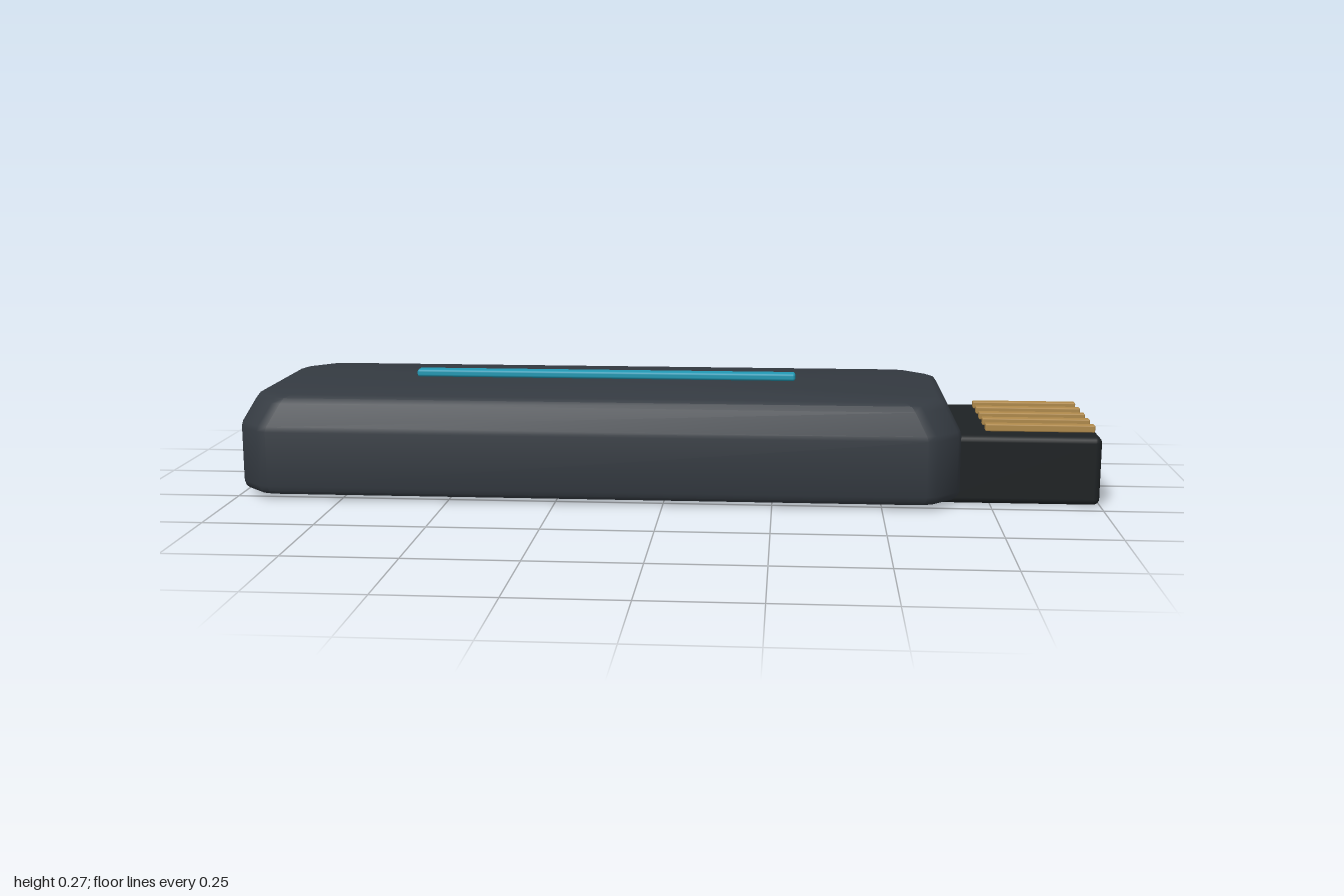
import * as THREE from 'three';
import { toCreasedNormals } from 'three/addons/utils/BufferGeometryUtils.js';
import { RoundedBoxGeometry } from 'three/addons/geometries/RoundedBoxGeometry.js';

const paint = (color) => new THREE.MeshStandardMaterial({ color });

// Rounded box given by its limits on each axis
function block(name, [x0, x1], [y0, y1], [z0, z1], radius, material) {
  const geometry = new RoundedBoxGeometry(x1 - x0, y1 - y0, z1 - z0, 3, radius);
  const mesh = new THREE.Mesh(geometry, material);
  mesh.position.set((x0 + x1) / 2, (y0 + y1) / 2, (z0 + z1) / 2);
  mesh.name = name;
  return mesh;
}

// Horizontal outline: rectangle with softened chamfers on its corners
function outline(halfX, halfZ) {
  const cut = [[0, 0.08], [0.008, 0.058], [0.058, 0.008], [0.08, 0]];
  const points = [];
  for (const [sx, sz] of [[1, 1], [-1, 1], [-1, -1], [1, -1]]) {
    const corner = cut.map(([dx, dz]) => [sx * (halfX - dx), sz * (halfZ - dz)]);
    points.push(...(sx === sz ? corner : corner.reverse()));
  }
  return points;
}

// Casing: outlines stacked in y, drawn in by an inset at each level
function casingGeometry(halfX, halfZ) {
  const levels = [
    [0.01, 0.02], [0.013, 0.009], [0.02, 0.003], [0.032, 0],
    [0.16, 0], [0.172, 0.003], [0.222, 0.029], [0.234, 0.037], [0.24, 0.052],
  ];
  const positions = [];
  const indices = [];
  for (const [y, inset] of levels) {
    for (const [x, z] of outline(halfX - inset, halfZ - inset)) positions.push(x, y, z);
  }
  const n = 16;
  const last = (levels.length - 1) * n;
  const bottom = levels.length * n;
  const top = bottom + 1;
  positions.push(0, levels[0][0], 0, 0, levels[levels.length - 1][0], 0);
  for (let i = 0; i < n; i++) {
    const j = (i + 1) % n;
    for (let row = 0; row < last; row += n) {
      const a = row + i, b = row + j;
      indices.push(a, a + n, b, b, a + n, b + n);
    }
    indices.push(bottom, i, j, top, last + j, last + i);
  }
  const geometry = new THREE.BufferGeometry();
  geometry.setAttribute('position', new THREE.Float32BufferAttribute(positions, 3));
  geometry.setIndex(indices);
  return toCreasedNormals(geometry, 0.65);
}

export function createModel() {
  const model = new THREE.Group();
  model.name = 'usbStick';

  const casing = new THREE.Mesh(casingGeometry(0.84, 0.284), paint(0x343a41));
  casing.position.x = -0.16;
  casing.name = 'casing';
  model.add(casing);

  // Plug with five contacts on top
  model.add(block('plug', [0.63, 1], [0, 0.16], [-0.203, 0.203], 0.015, paint(0x1e2224)));
  const contacts = new THREE.Group();
  contacts.name = 'contacts';
  const gold = paint(0xb08a4c);
  for (let i = -2; i <= 2; i++) {
    const z = i * 0.071;
    contacts.add(block('contact', [0.74, 0.99], [0.161, 0.178], [z - 0.012, z + 0.012], 0.003, gold));
  }
  model.add(contacts);

  // Light strip hovering just above the casing
  model.add(block('lightStrip', [-0.62, 0.3], [0.249, 0.267], [-0.018, 0.018], 0.006, paint(0x2299b4)));
  return model;
}
